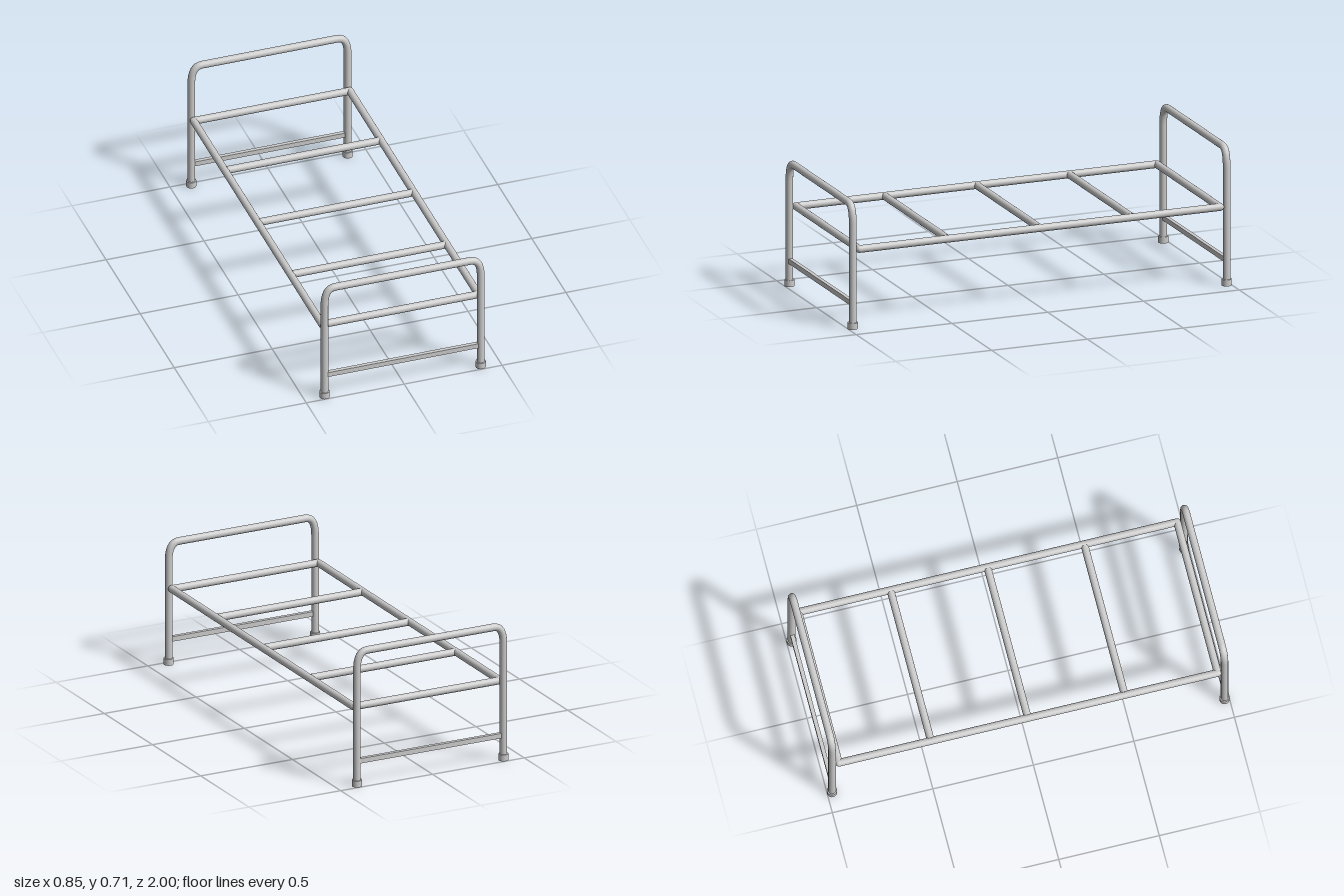
import * as THREE from 'three';

const R = 0.0185;      // pipe radius
const X = 0.399;       // half width, pipe centre to pipe centre
const END_Z = 0.976;   // head and foot hoops
const RAIL_Z = 0.942;  // ends of the bed frame
const RAIL_Y = 0.396;

const material = new THREE.MeshStandardMaterial({ color: 0xcccccc });

function add(parent, name, geometry, x = 0, y = 0, z = 0) {
  const mesh = new THREE.Mesh(geometry, material);
  mesh.name = name;
  mesh.position.set(x, y, z);
  parent.add(mesh);
  return mesh;
}

// Straight pipe along the x or z axis
function pipe(parent, name, length, axis, x, y, z) {
  const geometry = new THREE.CylinderGeometry(R, R, length, 20);
  if (axis === 'x') geometry.rotateZ(Math.PI / 2);
  else geometry.rotateX(Math.PI / 2);
  return add(parent, name, geometry, x, y, z);
}

// Bent pipe from one foot up, across and down to the other
function hoopGeometry(top) {
  const bendX = 0.345, bendY = top - 0.095;
  const v = (x, y) => new THREE.Vector3(x, y, 0);
  const points = [v(-X, 0.01)];
  const left = new THREE.QuadraticBezierCurve3(v(-X, bendY), v(-X, top), v(-bendX, top));
  const right = new THREE.QuadraticBezierCurve3(v(bendX, top), v(X, top), v(X, bendY));
  points.push(...left.getPoints(8), ...right.getPoints(8), v(X, 0.01));

  // Straight links between the points keep the long runs exactly straight
  const path = new THREE.Curve();
  path.getPoint = (t, target = new THREE.Vector3()) => {
    const f = t * (points.length - 1);
    const i = Math.min(Math.floor(f), points.length - 2);
    return target.lerpVectors(points[i], points[i + 1], f - i);
  };
  path.getPointAt = path.getPoint;
  path.getTangentAt = (t, target = new THREE.Vector3()) => {
    const i = Math.round(t * (points.length - 1));
    const a = points[Math.max(i - 1, 0)], b = points[i], c = points[Math.min(i + 1, points.length - 1)];
    const before = b.clone().sub(a).normalize(), after = c.clone().sub(b).normalize();
    return target.copy(before.add(after)).normalize();
  };
  return new THREE.TubeGeometry(path, points.length - 1, R, 20, false);
}

// Head or foot end: hoop, lower brace and foot caps
function bedEnd(name, top, z) {
  const end = new THREE.Group();
  end.name = name;
  end.position.z = z;
  add(end, 'hoop', hoopGeometry(top));
  add(end, 'lowerBrace', new THREE.BoxGeometry(2 * X - 0.02, 0.025, 0.02), 0, 0.128, 0);
  for (const side of [-1, 1]) {
    add(end, 'footCap', new THREE.CylinderGeometry(0.0245, 0.0245, 0.032, 20), side * X, 0.016, 0);
  }
  return end;
}

export function createModel() {
  const bed = new THREE.Group();
  bed.name = 'bedFrame';
  bed.add(bedEnd('footboard', 0.622, END_Z), bedEnd('headboard', 0.688, -END_Z));

  // Rectangular frame with rounded corners
  const frame = new THREE.Group();
  frame.name = 'mattressFrame';
  bed.add(frame);
  for (const s of [-1, 1]) {
    pipe(frame, 'sideRail', 2 * RAIL_Z, 'z', s * X, RAIL_Y, 0);
    pipe(frame, 'endRail', 2 * X, 'x', 0, RAIL_Y, s * RAIL_Z);
    for (const e of [-1, 1]) {
      add(frame, 'corner', new THREE.SphereGeometry(R, 20, 12), s * X, RAIL_Y, e * RAIL_Z);
    }
  }

  // Cross bars
  for (const z of [-0.484, -0.002, 0.48]) {
    pipe(frame, 'crossBar', 2 * X - 0.02, 'x', 0, RAIL_Y, z);
  }
  return bed;
}
